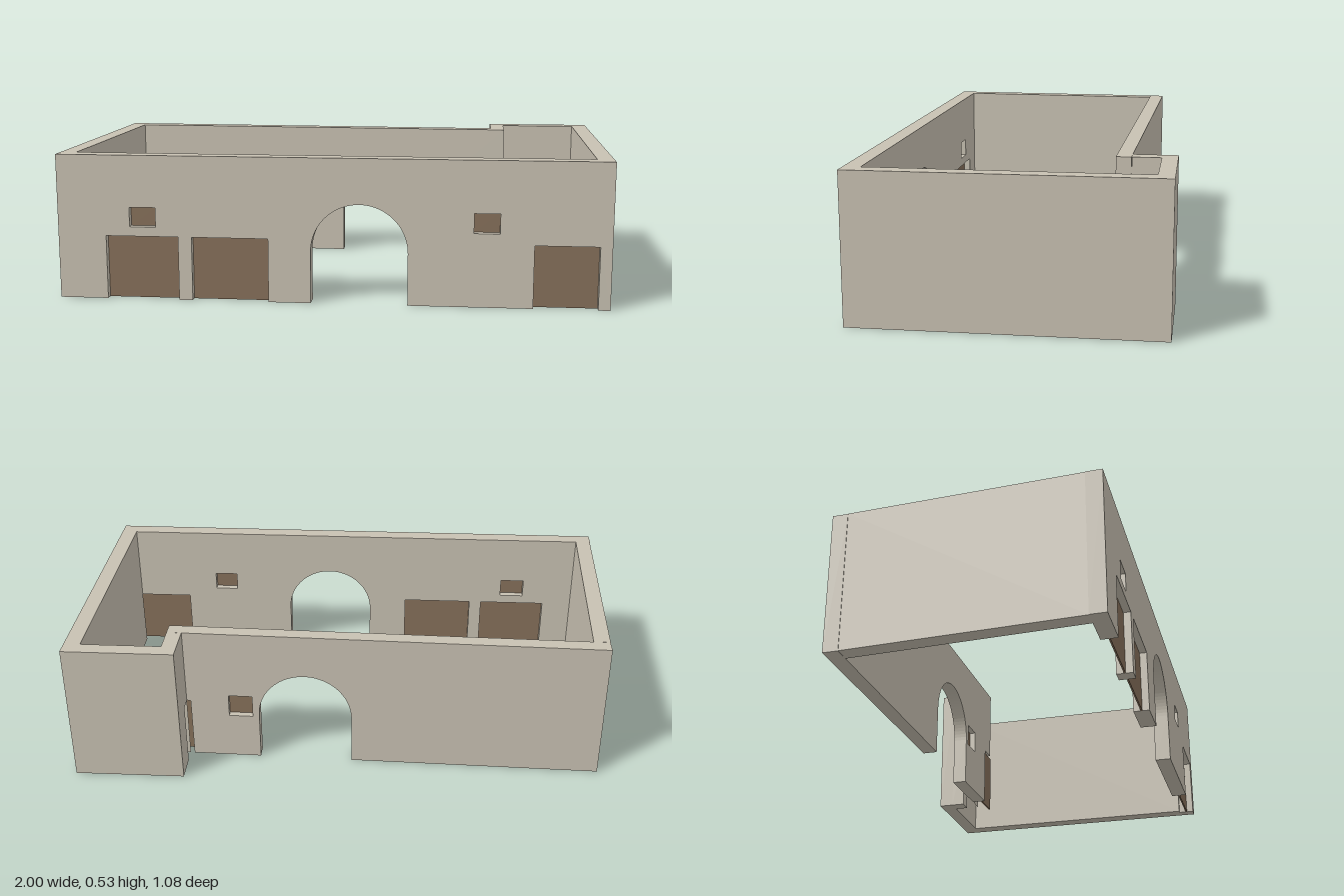
import * as THREE from 'three';

const H = 0.533;

export function createModel() {
  const group = new THREE.Group();
  group.name = 'courtyardBuilding';
  const plaster = new THREE.MeshStandardMaterial({ color: 0xc8c1b2 });
  plaster.name = 'plaster';
  const wood = new THREE.MeshStandardMaterial({ color: 0x86705a });
  wood.name = 'wood';

  // Wall elevation: doors and arches notch the base line, windows are holes
  function elevation(u0, u1, base = [], windows = []) {
    const s = new THREE.Shape();
    s.moveTo(u0, 0);
    for (const { a, b, top, arch } of base) {
      s.lineTo(a, 0);
      if (arch) {
        const r = (b - a) / 2;
        s.lineTo(a, top - r);
        s.absarc((a + b) / 2, top - r, r, Math.PI, 0, true);
      } else {
        s.lineTo(a, top);
        s.lineTo(b, top);
      }
      s.lineTo(b, 0);
    }
    s.lineTo(u1, 0);
    s.lineTo(u1, H);
    s.lineTo(u0, H);
    s.closePath();
    for (const [a, b, lo, hi] of windows) {
      const h = new THREE.Path();
      h.moveTo(a, lo);
      h.lineTo(a, hi);
      h.lineTo(b, hi);
      h.lineTo(b, lo);
      h.closePath();
      s.holes.push(h);
    }
    return s;
  }

  // Extrude by one unit, then place each vertex between the wall's two faces
  function wall(name, shape, place) {
    const g = new THREE.ExtrudeGeometry(shape, { depth: 1, bevelEnabled: false, curveSegments: 20 });
    const p = g.attributes.position;
    for (let i = 0; i < p.count; i++) {
      const [x, z] = place(p.getX(i), p.getZ(i));
      p.setX(i, x);
      p.setZ(i, z);
    }
    g.computeVertexNormals();
    const m = new THREE.Mesh(g, plaster);
    m.name = name;
    group.add(m);
  }

  function panel(name, [a, b, lo, hi], z, turn = 0) {
    const m = new THREE.Mesh(new THREE.BoxGeometry(b - a, hi - lo, 0.006), wood);
    m.position.set((a + b) / 2, (lo + hi) / 2, z);
    m.rotation.y = turn;
    m.name = name;
    group.add(m);
  }

  // Front wall with three doors, an arch and two windows
  const doors = [[-0.822, -0.555, 0, 0.235], [-0.505, -0.225, 0, 0.235], [0.728, 0.957, 0, 0.23]];
  const windows = [[-0.733, -0.637, 0.27, 0.342], [0.514, 0.606, 0.27, 0.342]];
  const [d1, d2, d3] = doors.map(([a, b, , top]) => ({ a, b, top }));
  const frontArch = { a: -0.07, b: 0.28, top: 0.366, arch: true };
  wall('frontWall', elevation(-1, 1, [d1, d2, frontArch, d3], windows),
    (u, t) => [u, 0.482 + 0.06 * t]);
  doors.forEach((d) => panel('frontDoor', d, 0.512));
  windows.forEach((w) => panel('frontWindow', w, 0.512));

  // Slanted back wall with an arch, a window and a doorway at the corner
  const outer = (x) => -0.424 + (x + 0.97) * 0.0256;
  const inner = (x) => -0.366 + (x + 0.91) * 0.0235;
  const backWindow = [0.34, 0.43, 0.18, 0.268];
  const backShape = new THREE.Shape([
    [0.575, 0], [0.575, 0.24], [0.645, 0.24], [0.645, H], [-0.97, H], [-0.97, 0], [-0.035, 0],
  ].map(([x, y]) => new THREE.Vector2(x, y)));
  backShape.lineTo(-0.035, 0.191);
  backShape.absarc(0.14, 0.191, 0.175, Math.PI, 0, true);
  backShape.lineTo(0.315, 0);
  backShape.closePath();
  backShape.holes = elevation(0, 1, [], [backWindow]).holes;
  wall('backWall', backShape, (u, t) => [u, outer(u) + t * (inner(u) - outer(u))]);
  panel('backWindow', backWindow, -0.362, -0.025);
  panel('backDoor', [0.575, 0.69, 0, 0.24], -0.344, -0.025);

  // Stepped corner bay; the doorway cuts into the return wall
  wall('bayReturnWall', elevation(0.384, 0.486, [{ a: 0.384, b: 0.435, top: 0.24 }]),
    (u, t) => [0.59 + 0.055 * t, -u]);
  wall('bayBackWall', elevation(0.59, 1), (u, t) => [u, -0.542 + 0.056 * t]);

  // Side walls, the one on the -x side leaning inward in plan
  wall('leftWall', elevation(-0.482, 0.486), (u, t) => [0.94 + 0.06 * t, -u]);
  wall('rightWall', elevation(-0.482, 0.366),
    (u, t) => [-0.998 + (u + 0.482) * 0.032 + t * (0.058 + (u + 0.482) * 0.0035), -u]);

  return group;
}
